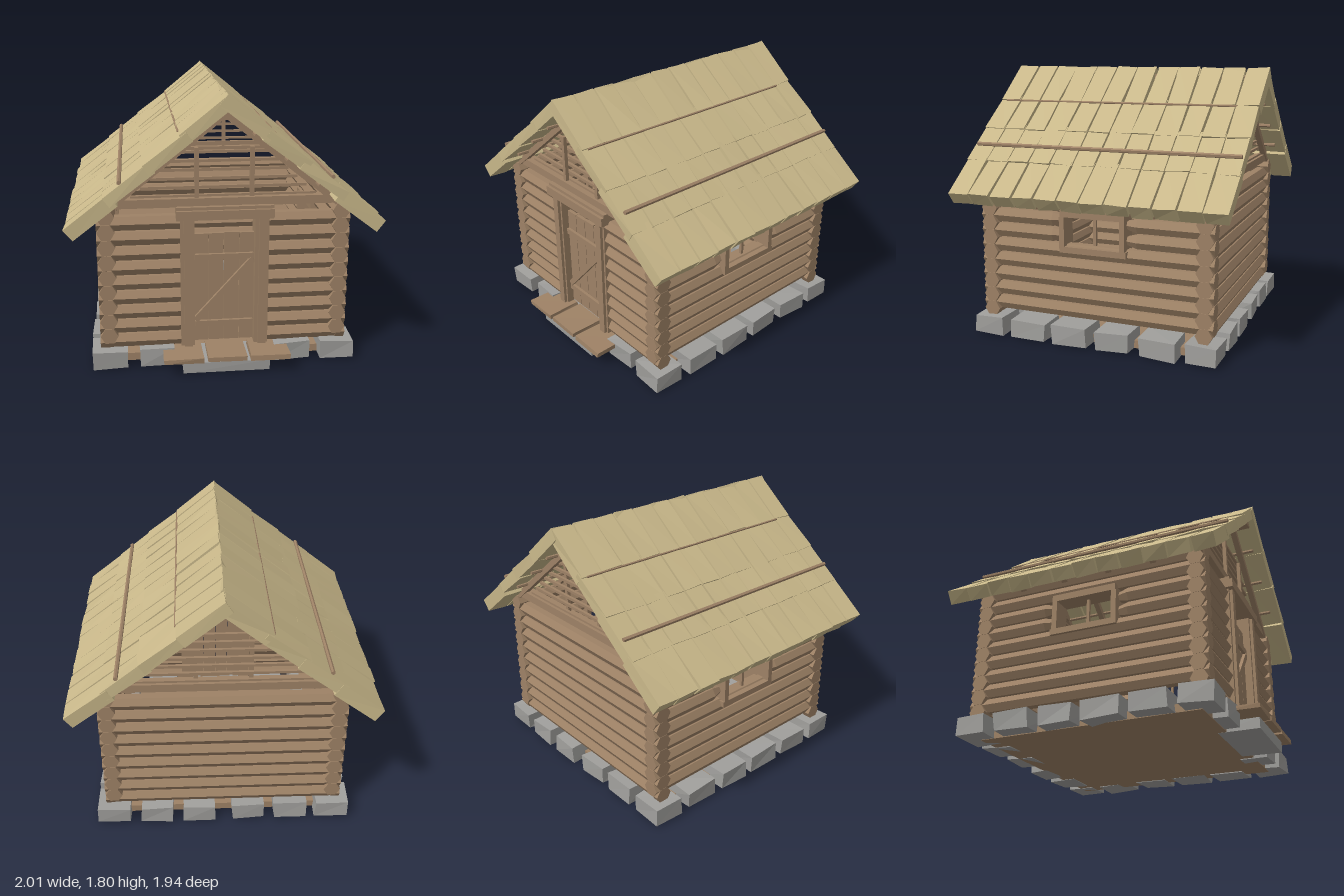
import * as THREE from 'three';

const material = (name, color) => {
  const m = new THREE.MeshStandardMaterial({ color, flatShading: true });
  m.name = name;
  return m;
};

export function createModel() {
  const wood = material('wood', 0x9e8266);
  const thatch = material('thatch', 0xc9b88a);
  const stone = material('stone', 0xa09f9c);

  const model = new THREE.Group();
  model.name = 'logCabin';
  const CZ = -0.02; // middle of the house along z

  let seed = 7;
  const jitter = (a) => {
    seed = (seed * 16807) % 2147483647;
    return (seed / 2147483647 - 0.5) * 2 * a;
  };
  const section = (name, parent = model) => {
    const g = new THREE.Group();
    g.name = name;
    parent.add(g);
    return g;
  };
  const add = (parent, name, geo, mat) => {
    const mesh = new THREE.Mesh(geo, mat);
    mesh.name = name;
    parent.add(mesh);
    return mesh;
  };
  // Box given by its limits, with optional uneven corners
  const box = (parent, name, mat, [x0, x1], [y0, y1], [z0, z1], rough = 0) => {
    const geo = new THREE.BoxGeometry(x1 - x0, y1 - y0, z1 - z0);
    if (rough) {
      const offsets = Array.from({ length: 8 }, () => [jitter(rough), jitter(rough), jitter(rough)]);
      const p = geo.attributes.position;
      for (let i = 0; i < p.count; i++) {
        const o = offsets[(p.getX(i) > 0 ? 1 : 0) + (p.getY(i) > 0 ? 2 : 0) + (p.getZ(i) > 0 ? 4 : 0)];
        p.setXYZ(i, p.getX(i) + o[0], p.getY(i) + o[1], p.getZ(i) + o[2]);
      }
    }
    const mesh = add(parent, name, geo, mat);
    mesh.position.set((x0 + x1) / 2, (y0 + y1) / 2, (z0 + z1) / 2);
    return mesh;
  };
  // Six-sided log lying along x or z, with its ridges facing sideways
  const log = (parent, name, axis, from, to, y, side, r = 0.052, rEnd = r) => {
    const geo = new THREE.CylinderGeometry(rEnd, r, to - from, 6);
    if (axis === 'x') geo.rotateZ(-Math.PI / 2);
    else geo.rotateY(Math.PI / 2).rotateX(Math.PI / 2);
    const mid = (from + to) / 2;
    const mesh = add(parent, name, geo, wood);
    mesh.position.set(axis === 'x' ? mid : side, y, axis === 'x' ? side : mid);
    return mesh;
  };

  // Foundation stones and floor
  const base = section('foundation');
  box(base, 'floor', wood, [-0.74, 0.74], [0.008, 0.06], [-0.77, 0.72]);
  const sideStones = [[0.62, 0.83], [0.31, 0.55], [0, 0.25], [-0.29, -0.06], [-0.6, -0.36], [-0.87, -0.67]];
  for (const s of [-1, 1]) {
    const xs = s > 0 ? [0.64, 0.865] : [-0.865, -0.64];
    for (const zs of sideStones) box(base, 'sideStone', stone, xs, [0.008, 0.13], zs, 0.008);
    box(base, 'frontStone', stone, s > 0 ? [0.33, 0.56] : [-0.56, -0.33], [0.008, 0.13], [0.62, 0.82], 0.008);
    for (const x of [0.17, 0.46]) {
      box(base, 'backStone', stone, [s * x - 0.11, s * x + 0.11], [0.008, 0.13], [-0.87, -0.67], 0.008);
    }
  }
  box(base, 'stepStone', stone, [-0.28, 0.28], [0.004, 0.075], [0.66, 0.93], 0.004);
  for (const x of [-0.28, 0, 0.28]) {
    box(base, 'stepPlank', wood, [x - 0.127, x + 0.127], [0.095, 0.127], [0.73, 0.97], 0.004);
  }

  // Log walls, with openings for the door and side windows
  const walls = section('logWalls');
  const Z0 = -0.83, Z1 = 0.79;
  for (let i = 0; i < 9; i++) {
    const yx = 0.175 + i * 0.1, yz = 0.22 + i * 0.101;
    log(walls, 'backLog', 'x', -0.81, 0.81, yx, -0.77);
    log(walls, 'frontLogLeft', 'x', 0.24, 0.81, yx, 0.73);
    log(walls, 'frontLogRight', 'x', -0.81, -0.24, yx, 0.73);
    for (const s of [-1, 1]) {
      const x = s * 0.75;
      if (i === 5 || i === 6) {
        log(walls, 'sideLogBack', 'z', Z0, -0.32, yz, x);
        log(walls, 'sideLogTip', 'z', -0.32, -0.24, yz, x, 0.052, 0.028);
        log(walls, 'sideLogFront', 'z', 0.27, Z1, yz, x);
        log(walls, 'sideLogTip', 'z', 0.18, 0.27, yz, x, 0.028, 0.052);
      } else log(walls, 'sideLog', 'z', Z0, Z1, yz, x);
      // Thicker notched ends at the corners
      for (const z of [Z0, Z1 - 0.06]) log(walls, 'sideLogEnd', 'z', z, z + 0.06, yz, x, 0.057);
      for (const z of [-0.77, 0.73]) {
        log(walls, 'cornerLogEnd', 'x', s * 0.78 - 0.03, s * 0.78 + 0.03, yx, z, 0.057);
      }
    }
  }

  // Side windows
  for (const s of [-1, 1]) {
    const win = section(s > 0 ? 'leftWindow' : 'rightWindow');
    const xs = s > 0 ? [0.69, 0.82] : [-0.82, -0.69];
    box(win, 'windowSill', wood, xs, [0.62, 0.66], [-0.26, 0.205]);
    box(win, 'windowHead', wood, xs, [0.855, 0.9], [-0.25, 0.2]);
    box(win, 'windowJamb', wood, xs, [0.66, 0.855], [0.17, 0.205]);
    box(win, 'windowJamb', wood, xs, [0.66, 0.855], [-0.25, -0.215]);
    box(win, 'windowBar', wood, [s * 0.75 - 0.01, s * 0.75 + 0.01], [0.66, 0.855], [-0.03, -0.01]);
  }

  // Door and its frame
  const door = section('door');
  for (const s of [-1, 1]) {
    const c = s * 0.24;
    box(door, 'doorPost', wood, [c - 0.045, c + 0.045], [0.13, 1.0], [0.67, 0.785]);
    box(door, 'doorTrim', wood, [c - 0.022, c + 0.03], [0.13, 1.0], [0.785, 0.805]);
  }
  box(door, 'lintel', wood, [-0.31, 0.31], [1.0, 1.06], [0.67, 0.82]);
  box(door, 'lintelCap', wood, [-0.31, 0.31], [1.06, 1.08], [0.67, 0.8]);
  for (let i = 0; i < 4; i++) {
    const x = -0.15 + i * 0.1;
    box(door, 'doorPlank', wood, [x - 0.048, x + 0.048], [0.14, 0.89 + jitter(0.008)], [0.71, 0.735]);
  }
  for (const y of [0.265, 0.73]) box(door, 'doorRail', wood, [-0.19, 0.19], [y - 0.02, y + 0.02], [0.735, 0.755]);
  const brace = box(door, 'doorBrace', wood, [-0.28, 0.28], [-0.02, 0.02], [0.735, 0.757]);
  brace.position.y = 0.5;
  brace.rotation.z = Math.atan2(0.41, 0.37);

  // Open gables: tie beam, two uprights and thin bars
  for (const z of [0.73, -0.77]) {
    const gable = section(z > 0 ? 'frontGable' : 'backGable');
    box(gable, 'tieBeam', wood, [-0.72, 0.72], [1.075, 1.13], [z - 0.04, z + 0.04]);
    for (const x of [-0.175, 0.175]) box(gable, 'upright', wood, [x - 0.014, x + 0.014], [1.12, 1.45], [z, z + 0.025]);
    for (let i = 0; i < 7; i++) {
      const y = 1.135 + i * 0.0565, w = 0.59 - i * 0.061;
      box(gable, 'gableBar', wood, [-w, w], [y - 0.009, y + 0.009], [z - 0.02, z]);
    }
  }
  log(model, 'ridgePole', 'z', -0.91, 0.88, 1.695, 0, 0.06);

  // Roof: each slope is built flat, u running down from the ridge
  const angle = Math.atan2(0.8, 1), perX = 1 / Math.cos(angle);
  const seams = [0, 0.29, 0.52, 0.76, 1.0].map((x) => x * perX);
  for (const s of [-1, 1]) {
    const pivot = section(s > 0 ? 'leftRoof' : 'rightRoof');
    pivot.position.set(0, 1.795, CZ);
    if (s < 0) pivot.rotation.y = Math.PI;
    const slope = section('slope', pivot);
    slope.rotation.z = -angle;

    // Thatch bundles, each row overlapping the one below
    for (let row = 0; row < 4; row++) {
      for (let col = 0; col < 12; col++) {
        const z = -0.945 + (col + 0.5) * 0.1575, half = 0.0735 + jitter(0.003);
        const u0 = row ? seams[row] - 0.04 : 0, u1 = seams[row + 1];
        const top = row ? -0.004 : 0;
        const tile = box(slope, 'thatchBundle', thatch, [u0, u1], [row === 3 ? -0.098 : -0.08, top],
          [z - half, z + half], 0.005);
        tile.rotation.z = row ? 0.02 : 0;
        tile.rotation.y = jitter(0.015);
      }
    }
    // Rafters and battens below the thatch
    for (const z of [-0.78, -0.47, -0.16, 0.16, 0.47, 0.78]) {
      box(slope, 'rafter', wood, [0.08, 1.12], [-0.125, -0.085], [z - 0.02, z + 0.02]);
    }
    for (const u of [0.3, 0.56, 0.82]) log(slope, 'batten', 'z', -0.88, 0.88, -0.088, u, 0.013);
    // Poles holding the thatch down
    log(slope, 'roofPole', 'z', -0.93, 0.92, 0.008, 0.65 * perX, 0.014);
    log(slope, 'seamPole', 'z', -0.8, 0.9, -0.004, 0.293 * perX, 0.008);
  }
  return model;
}
